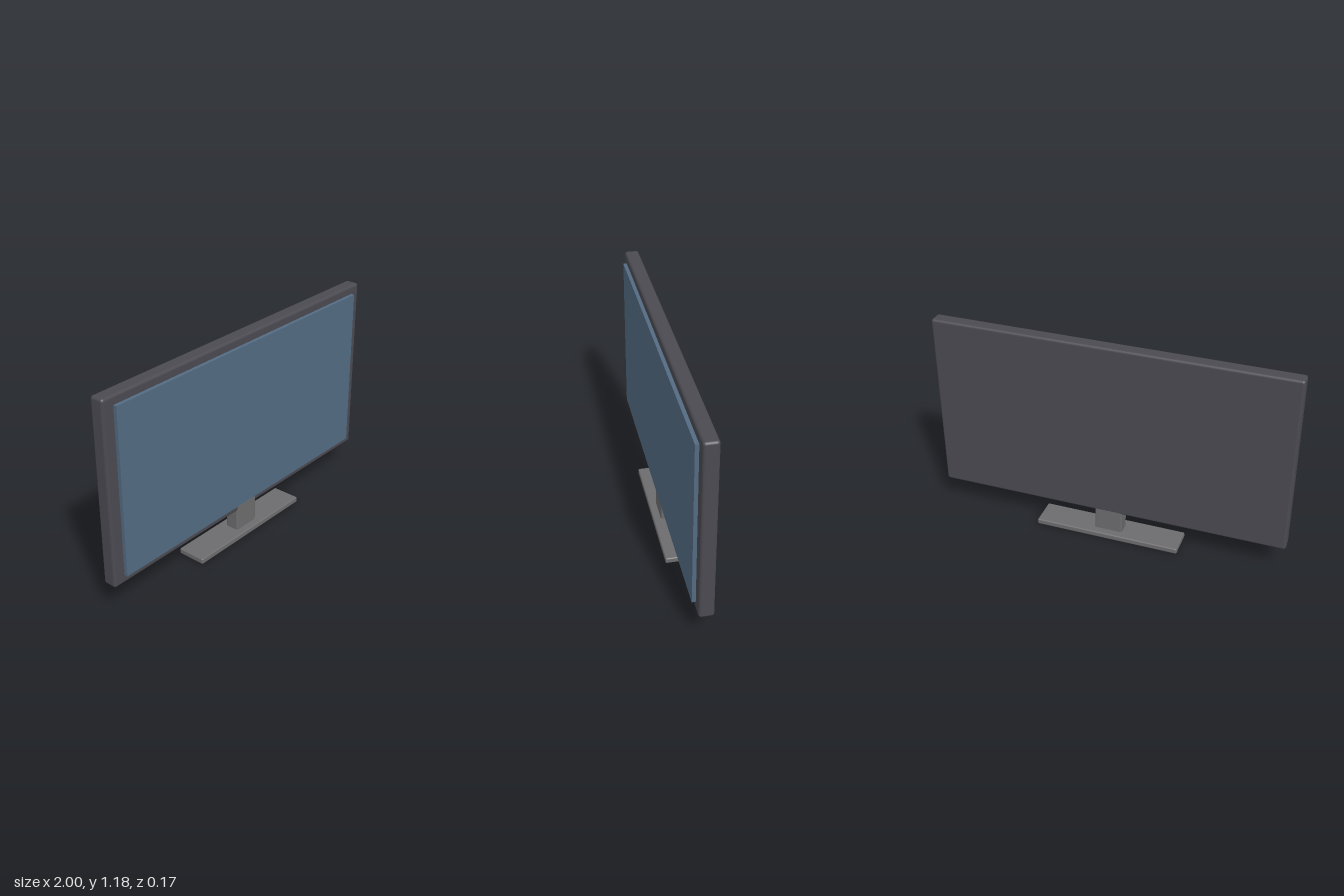
import * as THREE from 'three';
import { RoundedBoxGeometry } from 'three/addons/geometries/RoundedBoxGeometry.js';

const material = (name, color) => {
  const m = new THREE.MeshStandardMaterial({ color });
  m.name = name;
  return m;
};

export function createModel() {
  const casing = material('dark casing', 0x4b4a51);
  const glass = material('blue screen', 0x536b82);
  const metal = material('grey stand', 0x6c6c6e);

  const model = new THREE.Group();
  model.name = 'monitor';

  // Box given by its extents on each axis, with an optional rounded edge
  const addBox = (name, mat, [x0, x1], [y0, y1], [z0, z1], radius = 0) => {
    const size = [x1 - x0, y1 - y0, z1 - z0];
    const geometry = radius
      ? new RoundedBoxGeometry(...size, 3, radius)
      : new THREE.BoxGeometry(...size);
    const mesh = new THREE.Mesh(geometry, mat);
    mesh.name = name;
    mesh.position.set((x0 + x1) / 2, (y0 + y1) / 2, (z0 + z1) / 2);
    model.add(mesh);
  };

  // Display: casing with a raised screen panel
  addBox('casing', casing, [-1, 1], [0.155, 1.185], [-0.04, 0.04], 0.015);
  addBox('screen', glass, [-0.933, 0.933], [0.203, 1.137], [0.03, 0.06]);

  // Stand: neck runs slightly into the casing, above a flat foot
  addBox('neck', metal, [-0.08, 0.08], [0.02, 0.19], [-0.039, 0.041], 0.01);
  addBox('foot', metal, [-0.415, 0.415], [0, 0.033], [-0.083, 0.083], 0.008);

  return model;
}
